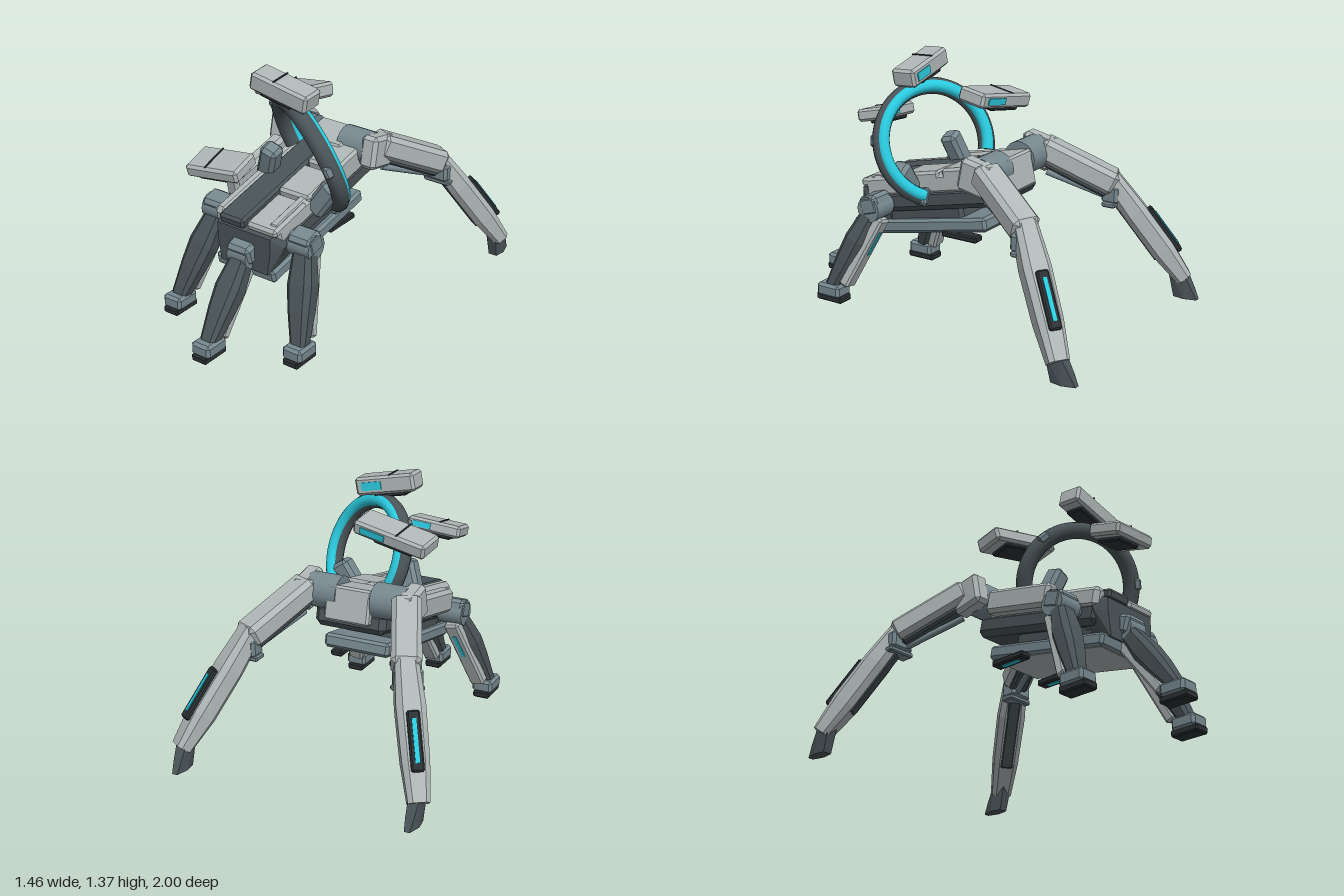
import * as THREE from 'three';
import { ConvexGeometry } from 'three/addons/geometries/ConvexGeometry.js';

const V = (x, y, z) => new THREE.Vector3(x, y, z);

export function createModel() {
  const mat = (name, color) => Object.assign(new THREE.MeshStandardMaterial({ color }), { name });
  const silver = mat('silver', 0xb0b7b7);
  const dark = mat('dark grey', 0x4a5458);
  const joint = mat('blue grey', 0x778990);
  const cyan = mat('cyan', 0x2acbe0);
  const black = mat('near black', 0x2c3134);
  const root = new THREE.Group();

  const add = (parent, name, geo, material, pos = [0, 0, 0], rot = [0, 0, 0]) => {
    const m = new THREE.Mesh(geo, material);
    m.name = name;
    m.position.set(...pos);
    m.rotation.set(...rot);
    parent.add(m);
  };
  const group = (name, pos = [0, 0, 0], rot = [0, 0, 0]) => {
    const g = new THREE.Group();
    g.name = name;
    g.position.set(...pos);
    g.rotation.set(...rot);
    root.add(g);
    return g;
  };
  // Box with chamfered edges
  const bevel = (w, h, d, c = 0.012) => {
    const pts = [];
    for (const x of [-1, 1]) for (const y of [-1, 1]) for (const z of [-1, 1]) {
      const X = x * w / 2, Y = y * h / 2, Z = z * d / 2;
      pts.push(V(X, Y - y * c, Z - z * c), V(X - x * c, Y, Z - z * c), V(X - x * c, Y - y * c, Z));
    }
    return new ConvexGeometry(pts);
  };
  // Convex limb from octagonal sections [y, width, depth]
  const limb = (sections) => {
    const pts = [];
    for (const [y, w, d] of sections) for (const x of [-1, 1]) for (const z of [-1, 1])
      pts.push(V(x * w / 2, y, z * d * 0.28), V(x * w * 0.3, y, z * d / 2));
    return new ConvexGeometry(pts);
  };
  // Group with origin at a, +y running to b and +z turned towards face
  const between = (name, a, b, face) => {
    const g = group(name, a.toArray());
    const y = b.clone().sub(a).normalize();
    const x = y.clone().cross(face).normalize();
    g.quaternion.setFromRotationMatrix(new THREE.Matrix4().makeBasis(x, y, x.clone().cross(y)));
    return [g, a.distanceTo(b)];
  };

  // Body, nose down
  const body = group('body', [0.03, 0.66, 0.17], [0.22, 0, 0]);
  add(body, 'bodyCore', bevel(0.41, 0.12, 0.86, 0.03), dark, [0, -0.05, 0]);
  for (const s of [-1, 1])
    add(body, 'sidePanel', bevel(0.08, 0.12, 0.84, 0.025), silver, [s * 0.17, 0.035, 0]);
  add(body, 'backPanelRear', bevel(0.2, 0.06, 0.28, 0.015), silver, [0.11, 0.085, -0.25]);
  add(body, 'backPanelMiddle', bevel(0.2, 0.06, 0.24, 0.015), silver, [0.11, 0.075, 0.03]);
  add(body, 'backPanelFront', bevel(0.19, 0.05, 0.28, 0.015), silver, [0.115, 0.064, 0.3]);
  add(body, 'spinePanel', bevel(0.16, 0.06, 0.82, 0.015), dark, [-0.07, 0.066, 0.04]);
  add(body, 'rearPlate', bevel(0.26, 0.17, 0.06), silver, [0, 0.02, -0.44]);
  add(body, 'rearDeck', bevel(0.25, 0.05, 0.2), silver, [-0.01, 0.1, -0.37]);
  add(body, 'neckBlock', bevel(0.32, 0.14, 0.56, 0.02), dark, [0, -0.13, 0.12]);
  add(root, 'sideRail', bevel(0.09, 0.13, 0.45, 0.02), silver, [-0.25, 0.7, 0.14], [0.22, 0, 0]);

  // Dark snout
  const snout = [];
  for (const [z, w0, w1, y0, y1] of [[0.44, 0.38, 0.34, 0.42, 0.67], [0.56, 0.43, 0.36, 0.4, 0.625], [0.62, 0.34, 0.34, 0.39, 0.6]])
    for (const s of [-1, 1])
      snout.push(V(s * w1 / 2, y1, z), V(s * w0 / 2, (y0 + y1) / 2 + 0.03, z), V(s * w1 * 0.44, y0, z));
  add(root, 'snout', new ConvexGeometry(snout), dark, [0.04, 0, 0]);

  // Belly plate with two lamps
  const belly = group('belly', [0.03, 0.45, 0.21], [0.2, 0, 0]);
  add(belly, 'bellyPlate', bevel(0.38, 0.075, 0.8, 0.015), joint);
  add(belly, 'bellyCover', new THREE.BoxGeometry(0.35, 0.006, 0.77), silver, [0, -0.037, 0]);
  for (const x of [-0.17, 0.18]) {
    add(root, 'bellyLamp', bevel(0.07, 0.035, 0.22, 0.008), black, [x, 0.43, -0.01]);
    add(root, 'bellyLampGlow', new THREE.BoxGeometry(0.025, 0.006, 0.12), cyan, [x, 0.411, -0.01]);
  }

  // Three front legs
  const front = [
    ['leftFrontLeg', V(0.31, 0.54, 0.46), V(0.43, 0.08, 0.67)],
    ['rightFrontLeg', V(-0.27, 0.56, 0.43), V(-0.39, 0.08, 0.64)],
    ['middleFrontLeg', V(0.035, 0.47, 0.61), V(0.035, 0.08, 0.91)],
  ];
  for (const [name, hip, foot] of front) {
    const [g, L] = between(name, hip, foot, V(0, 0.4, 1));
    add(g, 'legArmour', limb([[0.02, 0.11, 0.09], [L * 0.4, 0.15, 0.12], [L * 0.65, 0.13, 0.11], [L, 0.09, 0.07]]), dark);
    add(g, 'legBackPlate', bevel(0.09, L * 0.85, 0.06), silver, [0, L * 0.48, -0.065]);
    add(g, 'legGlow', new THREE.BoxGeometry(0.022, L * 0.28, 0.006), cyan, [0, L * 0.34, -0.097]);
    const sock = group(name + 'Foot', [foot.x, 0, foot.z]);
    add(sock, 'ankleCuff', bevel(0.118, 0.075, 0.15, 0.015), joint, [0, 0.065, 0]);
    add(sock, 'sole', bevel(0.095, 0.04, 0.17, 0.008), black, [0, 0.02, 0]);
    // Hip joint
    const side = name !== 'middleFrontLeg';
    add(root, 'hipBlock', bevel(0.15, 0.11, 0.12, 0.02), joint, [hip.x, hip.y + 0.02, hip.z], [0.3, 0, 0]);
    add(root, 'hipBarrel', new THREE.CylinderGeometry(0.07, 0.07, side ? 0.14 : 0.12, 16), joint, hip.toArray(), [0, 0, Math.PI / 2]);
    if (side)
      add(root, 'hipArm', bevel(0.16, 0.08, 0.1), joint, [hip.x * 0.75 + 0.01, hip.y, hip.z]);
  }

  // Two long rear legs
  for (const s of [-1, 1]) {
    const hip = V(s * 0.29, 0.84, -0.23), knee = V(s * 0.45, 0.66, -0.57), ankle = V(s * 0.675, 0.11, -0.9);
    add(root, 'rearHipBarrel', new THREE.CylinderGeometry(0.095, 0.095, 0.18, 14), joint, [s * 0.19, 0.815, -0.19], [0, 0, Math.PI / 2]);
    add(root, 'rearHipBlock', bevel(0.1, 0.18, 0.19, 0.02), silver, [s * 0.3, 0.815, -0.19], [-0.2, 0, 0]);
    const out = V(s * 0.35, 0.6, -0.5);
    const [u, U] = between('rearUpperLeg', hip, knee, V(0, 1, 0));
    add(u, 'thighArmour', bevel(0.155, U + 0.04, 0.13, 0.025), silver, [0, U / 2, 0]);
    add(u, 'thighCore', bevel(0.1, U, 0.06), dark, [0, U / 2, -0.06]);
    const [rod, R] = between('thighRod', V(s * 0.3, 0.7, -0.24), V(s * 0.43, 0.58, -0.54), V(0, 1, 0));
    add(rod, 'rod', new THREE.CylinderGeometry(0.018, 0.018, R, 8), joint, [0, R / 2, 0]);
    add(root, 'kneeBlock', bevel(0.14, 0.1, 0.1, 0.015), joint, [s * 0.46, 0.6, -0.575]);
    add(root, 'kneePlate', bevel(0.16, 0.03, 0.08, 0.008), joint, [s * 0.46, 0.545, -0.575]);
    const [l, L] = between('rearLowerLeg', knee, ankle, out);
    add(l, 'shinArmour', limb([[-0.03, 0.12, 0.11], [L * 0.3, 0.15, 0.13], [L * 0.7, 0.14, 0.13], [L, 0.11, 0.09]]), silver);
    add(l, 'shinCore', bevel(0.08, L * 0.65, 0.03), dark, [0, L * 0.42, -0.055]);
    add(l, 'shinPanel', bevel(0.065, 0.3, 0.03, 0.008), black, [0, L * 0.57, 0.073]);
    add(l, 'shinGlow', new THREE.BoxGeometry(0.022, 0.22, 0.006), cyan, [0, L * 0.57, 0.09]);
    // Claw
    const claw = [];
    for (const [y, z, w] of [[0.15, -0.83, 0.06], [0.15, -0.92, 0.06], [0.06, -0.97, 0.045], [0, -1, 0.03], [0, -0.93, 0.07], [0, -0.865, 0.05]])
      for (const x of [-w / 2, w / 2]) claw.push(V(s * 0.66 + x, y, z));
    add(root, 'rearClaw', new ConvexGeometry(claw), dark);
  }

  // Open ring with a glowing rear band
  const ring = group('ring', [0.14, 0.905, 0.19]);
  ring.quaternion.setFromUnitVectors(V(0, 0, 1), V(-0.47, -0.36, 0.8).normalize());
  const start = -1.08, arc = 4.6, rad = 0.302;
  add(ring, 'ringTube', new THREE.TorusGeometry(rad, 0.046, 12, 56, arc), dark, [0, 0, 0], [0, 0, start]);
  add(ring, 'ringGlow', new THREE.TorusGeometry(rad - 0.004, 0.033, 10, 56, arc), cyan, [0, 0, -0.025], [0, 0, start]);
  add(ring, 'ringEnd', bevel(0.1, 0.04, 0.09), joint, [rad * Math.cos(start), rad * Math.sin(start), 0], [0, 0, start]);
  for (const t of [0.25, 2.45])
    add(ring, 'ringClip', bevel(0.05, 0.07, 0.05), joint, [(rad + 0.02) * Math.cos(t), (rad + 0.02) * Math.sin(t), 0.022], [0, 0, t]);
  add(root, 'leftRingBracket', bevel(0.11, 0.21, 0.1, 0.02), joint, [0.295, 0.72, 0.27], [0, 0, -0.6]);
  add(root, 'rightRingBracket', bevel(0.1, 0.25, 0.1, 0.02), joint, [-0.11, 0.78, 0.21], [0.25, 0, -0.35]);

  // Three floating blocks
  const blocks = [
    ['topBlock', [0.08, 1.285, 0.32], [0.05, 0.04, -0.2], [0.345, 0.1, 0.14]],
    ['rearBlock', [-0.125, 1.125, -0.02], [-0.15, -0.1, 0.17], [0.43, 0.08, 0.17]],
    ['frontBlock', [-0.063, 0.957, 0.66], [0.22, 0.1, 0.09], [0.31, 0.07, 0.19]],
  ];
  for (const [name, pos, rot, [w, h, d]] of blocks) {
    const g = group(name, pos, rot);
    add(g, 'shell', bevel(w, h, d, 0.014), silver);
    add(g, 'underside', bevel(w * 0.55, 0.03, d * 0.75, 0.008), black, [-w * 0.05, -h / 2 - 0.005, 0]);
    add(g, 'seam', new THREE.BoxGeometry(0.008, 0.006, d * 0.9), black, [-w * 0.1, h / 2 + 0.002, 0]);
    add(g, 'glow', new THREE.BoxGeometry(w * 0.34, h * 0.45, 0.008), cyan, [w * 0.22, 0, -d / 2 - 0.002]);
  }
  return root;
}
